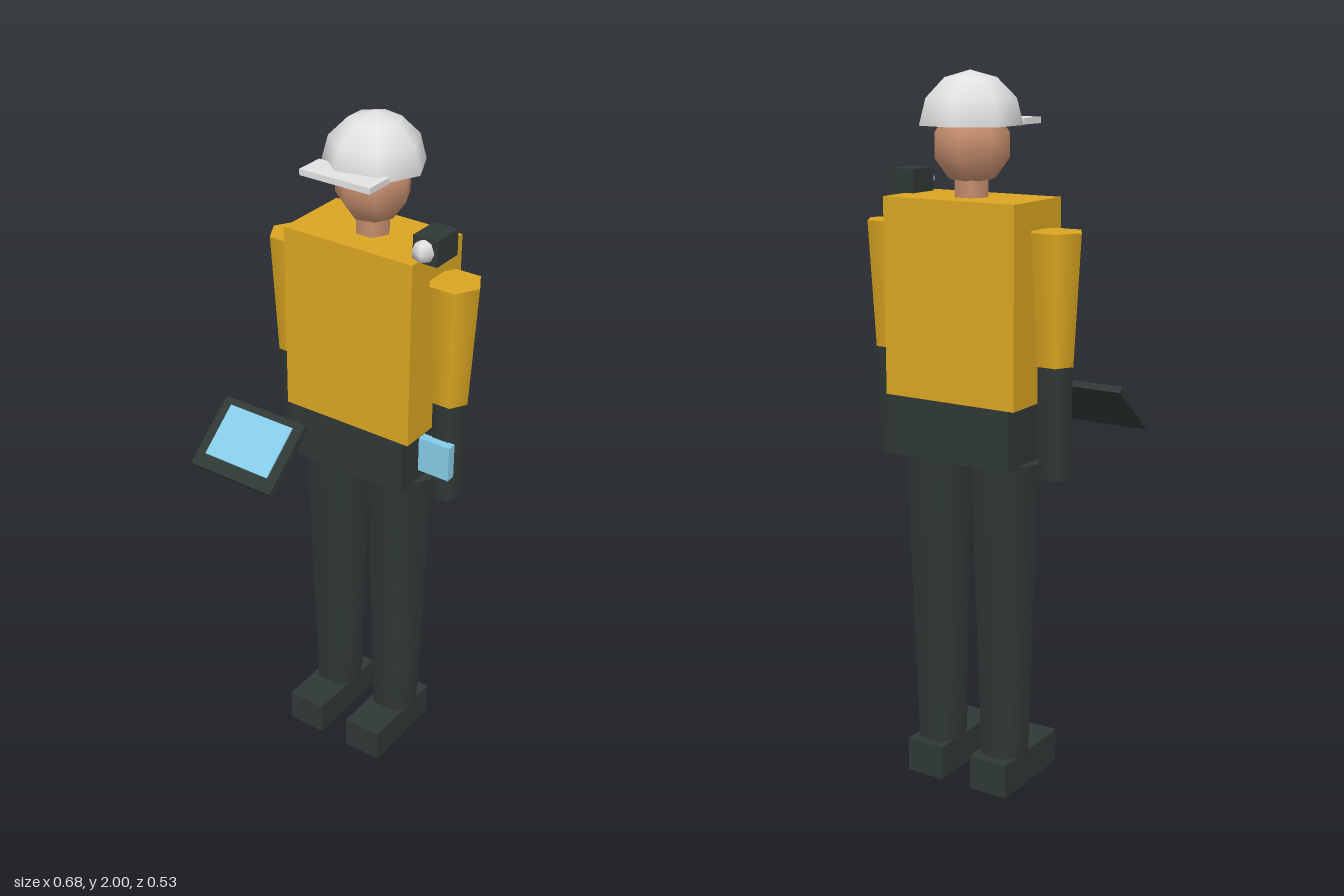
import * as THREE from 'three';

export function createModel() {
  const model = new THREE.Group();
  const CX = 0.005, CZ = -0.125; // body axis

  const mat = (name, color) => {
    const m = new THREE.MeshStandardMaterial({ color });
    m.name = name;
    return m;
  };
  const amber = mat('amberJacket', 0xd9a521);
  const dark = mat('darkFabric', 0x2f3836);
  const skin = mat('skin', 0xc68e6e);
  const white = mat('helmetWhite', 0xe2e2e2);
  const blue = mat('screenBlue', 0x87ceeb);

  const add = (name, geometry, material, x, y, z) => {
    const mesh = new THREE.Mesh(geometry, material);
    mesh.name = name;
    mesh.position.set(x, y, z);
    model.add(mesh);
    return mesh;
  };
  const box = (name, material, w, h, d, x, y, z) =>
    add(name, new THREE.BoxGeometry(w, h, d), material, x, y, z);
  // Six-sided limb with a corner on +x, spanning y0..y1
  const limb = (name, material, rTop, rBottom, y0, y1, x) =>
    add(name, new THREE.CylinderGeometry(rTop, rBottom, y1 - y0, 6, 1, false, Math.PI / 2),
      material, x, (y0 + y1) / 2, CZ);
  // Low-sided ball with a corner on +x
  const ball = (r, sides, rings, sweep = Math.PI) =>
    new THREE.SphereGeometry(r, sides, rings, Math.PI, Math.PI * 2, 0, sweep);

  // Trunk
  box('torso', amber, 0.41, 0.54, 0.238, CX, 1.402, -0.124);
  box('pelvis', dark, 0.36, 0.172, 0.215, CX, 1.046, -0.123);

  // Arms, legs and shoes
  for (const [side, s] of [['left', 1], ['right', -1]]) {
    const armX = CX + s * 0.261, legX = CX + s * 0.107;
    limb(side + 'UpperArm', amber, 0.075, 0.055, 1.245, 1.597, armX);
    limb(side + 'Forearm', dark, 0.054, 0.048, 0.937, 1.245, armX);
    limb(side + 'Leg', dark, 0.106, 0.076, 0.09, 0.965, legX);
    box(side + 'Shoe', dark, 0.119, 0.1, 0.28, legX, 0.05, -0.08);
  }

  // Head and neck
  limb('neck', skin, 0.05, 0.05, 1.67, 1.74, CX);
  add('head', ball(0.107, 7, 5), skin, CX, 1.808, CZ);

  // Hard hat: dome, closed underside and brim
  add('helmetDome', ball(0.141, 7, 3, Math.PI / 2), white, CX + 0.003, 1.859, CZ);
  add('helmetUnderside', new THREE.CircleGeometry(0.141, 7).rotateX(Math.PI / 2),
    white, CX + 0.003, 1.859, CZ);
  box('helmetBrim', white, 0.218, 0.017, 0.084, CX, 1.867, 0.007);

  // Shoulder camera
  box('cameraBody', dark, 0.075, 0.072, 0.097, 0.222, 1.701, -0.092);
  add('cameraLens', ball(0.032, 5, 4), white, 0.222, 1.703, -0.037);

  // Wrist display
  box('wristDisplay', blue, 0.098, 0.105, 0.028, 0.263, 1.083, -0.069);

  // Tilted tablet with its screen
  const tilt = THREE.MathUtils.degToRad(40);
  box('tablet', dark, 0.28, 0.02, 0.218, -0.2, 1.075, 0.175).rotation.x = tilt;
  box('tabletScreen', blue, 0.218, 0.006, 0.157, -0.2, 1.09, 0.175).rotation.x = tilt;

  return model;
}
